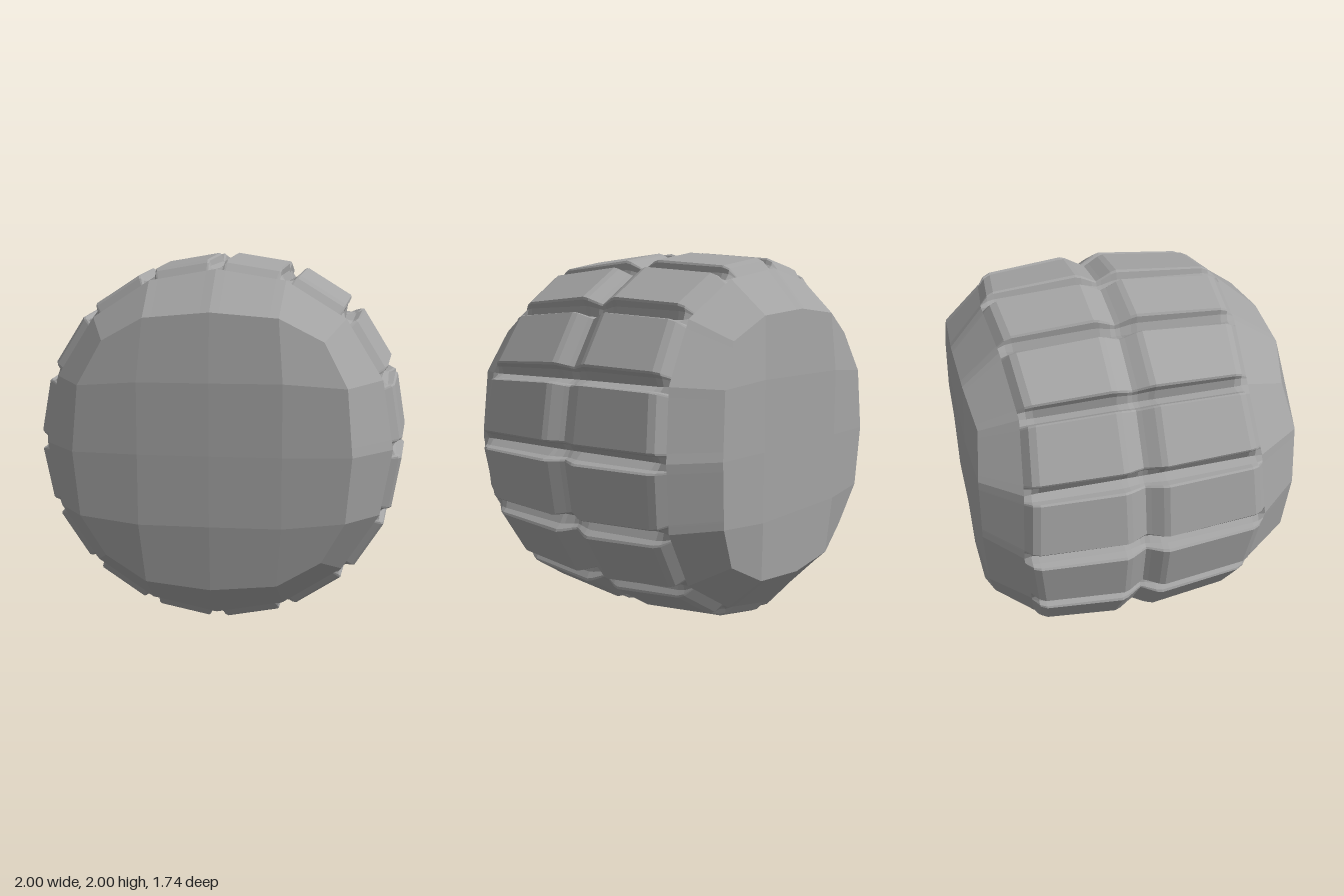
import * as THREE from 'three';

const SIDES = 16;
const material = new THREE.MeshStandardMaterial({ color: 0xa4a4a4 });

// how far a sector border is towards a diagonal: 0 on the axes, 1 at 45 degrees
const diagonal = (k) => Math.abs(Math.sin((2 * k * Math.PI * 2) / SIDES));

function ringPoint(angle, r, z) {
  return new THREE.Vector3(Math.cos(angle) * r, Math.sin(angle) * r, z);
}

// slightly squared rim where the cap meets the shoulder
function rimPoint(k, side) {
  const s = diagonal(k);
  const z = side > 0 ? 0.83 - 0.065 * s ** 4 : -0.86 + 0.045 * s ** 4;
  const angle = (k * Math.PI * 2) / SIDES;
  return ringPoint(angle + 0.07 * Math.sin(4 * angle), 0.7 + 0.085 * s ** 1.5, z);
}

// rows of points joined by quads, each quad with one flat normal
function gridMesh(name, rows, flip) {
  const points = [], normals = [], index = [];
  for (let j = 0; j < rows.length - 1; j++) {
    for (let i = 0; i < rows[j].length - 1; i++) {
      const quad = [rows[j][i], rows[j][i + 1], rows[j + 1][i + 1], rows[j + 1][i]];
      if (flip) quad.reverse();
      const n = quad[2].clone().sub(quad[0]).cross(quad[3].clone().sub(quad[1])).normalize();
      const v = points.length;
      points.push(...quad);
      for (let c = 0; c < 4; c++) normals.push(n.x, n.y, n.z);
      index.push(v, v + 1, v + 2, v, v + 2, v + 3);
    }
  }
  const geometry = new THREE.BufferGeometry().setFromPoints(points);
  geometry.setAttribute('normal', new THREE.Float32BufferAttribute(normals, 3));
  geometry.setIndex(index);
  const mesh = new THREE.Mesh(geometry, material);
  mesh.name = name;
  mesh.position.y = 1;
  return mesh;
}

// across one sector: [fraction of sector, height from groove floor to block top]
const COLUMNS = [[0, 0], [0.09, 0.5], [0.115, 0.88], [0.14, 1], [0.86, 1], [0.885, 0.88], [0.91, 0.5]];
// front to back: [z, block radius, groove radius]
const ROWS = [
  [0.585, 0.9, 0.9], [0.55, 0.94, 0.893], [0.515, 0.957, 0.89],
  [0.04, 0.999, 0.899], [0.01, 0.99, 0.899], [-0.045, 0.96, 0.899],
  [-0.07, 0.948, 0.899],
  [-0.095, 0.96, 0.899], [-0.15, 0.99, 0.899], [-0.18, 0.999, 0.899],
  [-0.615, 0.962, 0.89], [-0.65, 0.945, 0.893], [-0.685, 0.9, 0.9],
];

// shoulders and raised blocks, with a ring groove and lengthwise grooves
function treadRows() {
  const columns = [];
  for (let k = 0; k < SIDES; k++) for (const [t, h] of COLUMNS) columns.push([k, t, h]);
  columns.push([SIDES, 0, 0]);

  const bodyPoint = (k, r, z) => {
    const s = diagonal(k) ** 2;
    const pull = Math.abs(z) > 0.4 ? 0.06 * s * Math.sign(z) : 0;
    return ringPoint((k * Math.PI * 2) / SIDES, r * (1.008 + 0.027 * s), z - pull);
  };
  const rim = (side) => columns.map(([k, t]) => rimPoint(k, side).lerp(rimPoint(k + 1, side), t));
  const body = ROWS.map(([z, top, floor]) => columns.map(([k, t, h]) => {
    const r = floor + (top - floor) * h;
    return bodyPoint(k, r, z).lerp(bodyPoint(k + 1, r, z), t);
  }));
  return [rim(1), ...body, rim(-1)];
}

// shallow faceted cap whose border follows the rim
function capRows(side) {
  const rows = [];
  for (let j = -2; j <= 2; j++) {
    const row = [];
    for (let i = -2; i <= 2; i++) {
      if (Math.max(Math.abs(i), Math.abs(j)) === 2) {
        row.push(rimPoint(Math.round((Math.atan2(j, i) * SIDES) / (Math.PI * 2)), side));
      } else {
        const drop = side > 0 ? 0.005 * (Math.abs(i) + Math.abs(j)) : 0;
        row.push(new THREE.Vector3(i * 0.36, j * 0.36, side * (0.87 - drop)));
      }
    }
    rows.push(row);
  }
  return rows;
}

export function createModel() {
  const group = new THREE.Group();
  group.name = 'wheel';
  group.add(
    gridMesh('tread', treadRows(), true),
    gridMesh('frontCap', capRows(1), false),
    gridMesh('backCap', capRows(-1), true),
  );
  return group;
}
